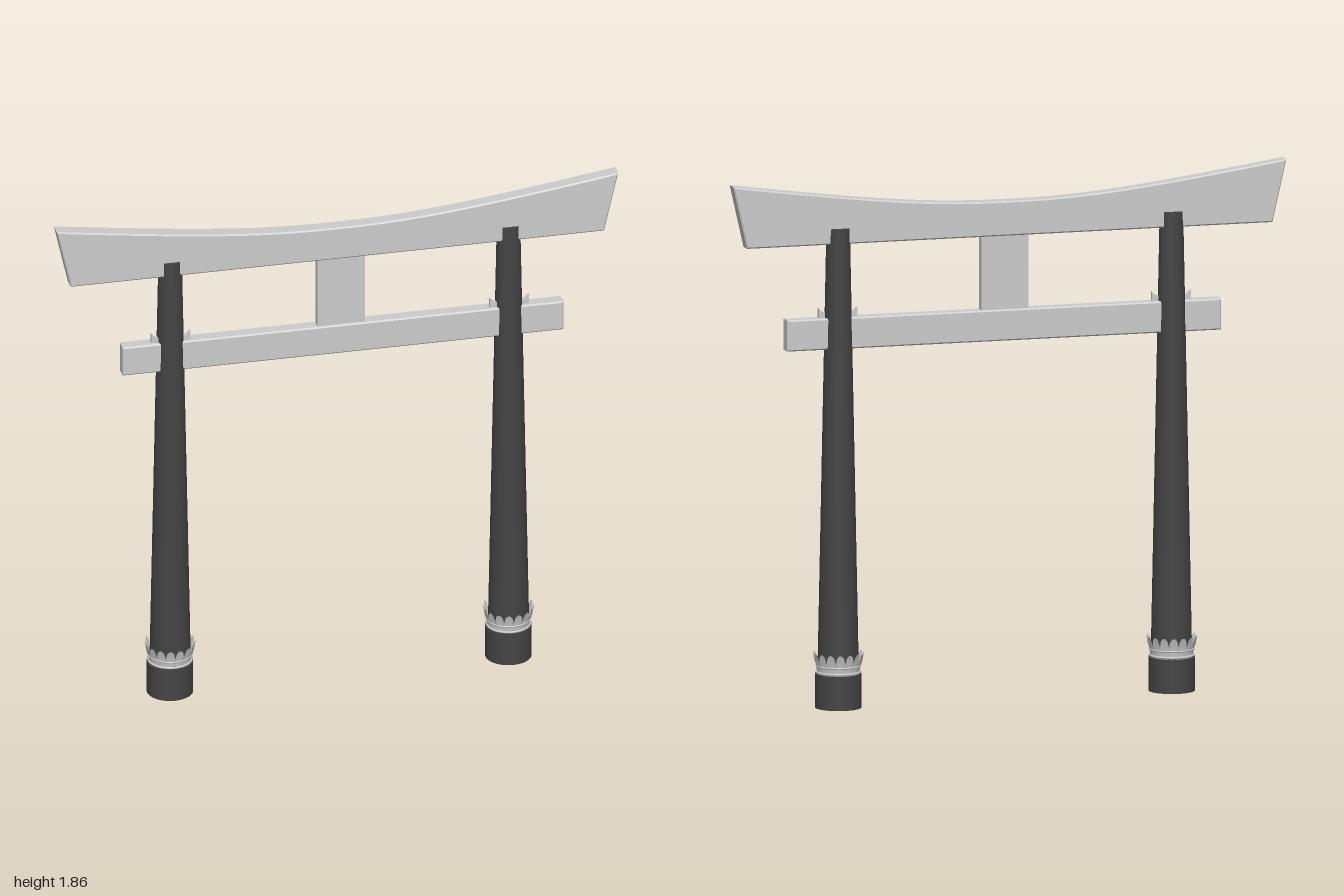
import * as THREE from 'three';

const BEAM_Z = 0.006;
const BEVEL = 0.005;

export function createModel() {
  const model = new THREE.Group();
  const grey = new THREE.MeshStandardMaterial({ color: 0xcccccc });
  const greyThin = new THREE.MeshStandardMaterial({ color: 0xcccccc, side: THREE.DoubleSide });
  const dark = new THREE.MeshStandardMaterial({ color: 0x444444 });

  function add(parent, name, geometry, material, x = 0, y = 0, z = 0) {
    const mesh = new THREE.Mesh(geometry, material);
    mesh.name = name;
    mesh.position.set(x, y, z);
    parent.add(mesh);
    return mesh;
  }

  // Outline extruded to a board with slightly chamfered edges, centred on z
  function board(shape, depth, bevel = BEVEL) {
    const geometry = new THREE.ExtrudeGeometry(shape, {
      depth: depth - 2 * bevel, bevelEnabled: bevel > 0, bevelSegments: 1,
      bevelSize: bevel, bevelThickness: bevel, bevelOffset: -bevel, curveSegments: 32,
    });
    return geometry.translate(0, 0, -depth / 2 + bevel);
  }

  function polygon(points) {
    return new THREE.Shape(points.map(([x, y]) => new THREE.Vector2(x, y)));
  }

  const rectangle = (x0, x1, y0, y1) => polygon([[x0, y0], [x1, y0], [x1, y1], [x0, y1]]);

  // Curved top lintel with slanted ends
  const lintel = new THREE.Shape();
  lintel.moveTo(-0.95, 1.635);
  lintel.lineTo(0.95, 1.635);
  lintel.lineTo(1, 1.855);
  lintel.bezierCurveTo(0.42, 1.77, 0.25, 1.757, 0, 1.757);
  lintel.bezierCurveTo(-0.25, 1.757, -0.42, 1.77, -1, 1.855);
  lintel.closePath();
  add(model, 'topLintel', board(lintel, 0.054), grey, 0, 0, BEAM_Z);

  // Straight tie beam and the central strut above it
  add(model, 'tieBeam', board(rectangle(-0.765, 0.805, 1.265, 1.375), 0.05), grey, 0, 0, BEAM_Z);
  add(model, 'centreStrut', board(rectangle(-0.07, 0.1, 1.37, 1.64), 0.03, 0), grey, 0, 0, BEAM_Z);

  // Collar wall whose rim is cut into petals that flare and bulge outward
  function petalCollar(petals) {
    const geometry = new THREE.CylinderGeometry(1, 1, 1, petals * 8, 8, true);
    const position = geometry.attributes.position;
    for (let i = 0; i < position.count; i++) {
      const angle = Math.atan2(position.getX(i), position.getZ(i));
      const t = position.getY(i) + 0.5;
      const petal = Math.sqrt(Math.abs(Math.sin(angle * petals / 2)));
      const radius = 0.074 + 0.01 * t * t + 0.005 * t * petal;
      position.setXYZ(i, Math.sin(angle) * radius, t * (0.045 + 0.03 * petal), Math.cos(angle) * radius);
    }
    geometry.computeVertexNormals();
    return geometry;
  }

  const collarGeometry = petalCollar(16);
  const ringGeometry = new THREE.TorusGeometry(0.076, 0.004, 8, 48).rotateX(Math.PI / 2);
  const wedgeShape = polygon([[0.035, 1.37], [0.07, 1.37], [0.07, 1.408], [0.058, 1.395], [0.035, 1.39]]);
  const wedgeGeometry = board(wedgeShape, 0.015, 0);

  // Two tapering pillars with footing, collar and wedges
  [['rightPillar', -0.59], ['leftPillar', 0.615]].forEach(([name, x]) => {
    const pillar = new THREE.Group();
    pillar.name = name;
    pillar.position.x = x;
    model.add(pillar);
    add(pillar, 'footing', new THREE.CylinderGeometry(0.081, 0.081, 0.12, 40), dark, 0, 0.06, 0);
    add(pillar, 'shaft', new THREE.CylinderGeometry(0.041, 0.072, 1.57, 40), dark, 0, 0.905, 0.003);
    add(pillar, 'petalCollar', collarGeometry, greyThin, 0, 0.12, 0);
    [0.126, 0.148].forEach((y) => add(pillar, 'collarRing', ringGeometry, grey, 0, y, 0));
    [0, Math.PI].forEach((turn) => {
      add(pillar, 'wedge', wedgeGeometry, grey, 0, 0, 0.01).rotation.y = turn;
    });
  });

  return model;
}
